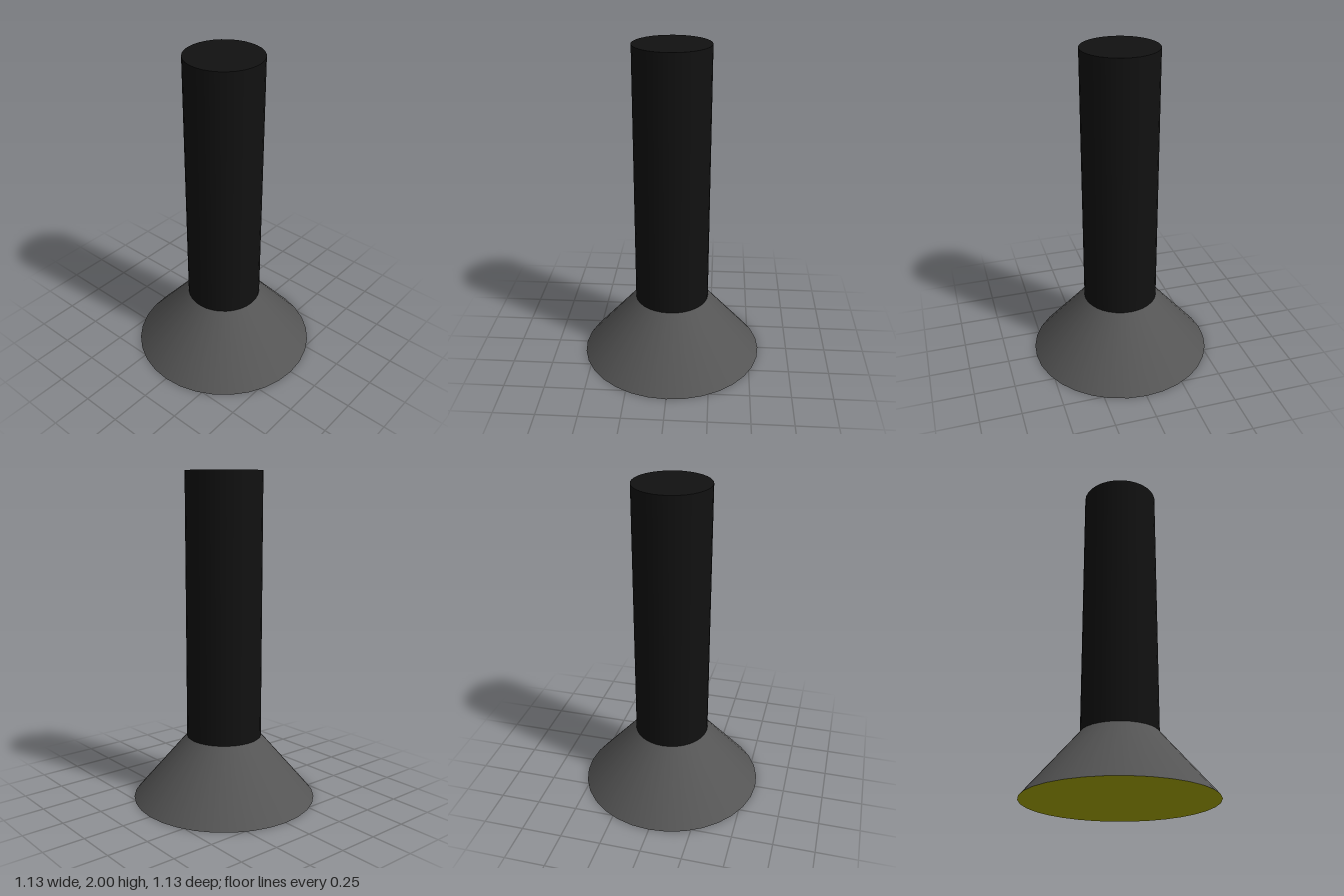
import * as THREE from 'three';

const SIDES = 32;
const BODY_RADIUS = 0.23;
const RIM_RADIUS = 0.565;
const HEAD_HEIGHT = 0.39;
const HEIGHT = 2;

function addPart(group, name, geometry, color, y) {
  const mesh = new THREE.Mesh(geometry, new THREE.MeshStandardMaterial({ color }));
  mesh.name = name;
  mesh.position.y = y;
  group.add(mesh);
}

export function createModel() {
  const model = new THREE.Group();
  model.name = 'flashlight';

  // Straight handle, closed at the top
  const bodyHeight = HEIGHT - HEAD_HEIGHT;
  addPart(model, 'handle',
    new THREE.CylinderGeometry(BODY_RADIUS, BODY_RADIUS, bodyHeight, SIDES),
    0x111111, HEAD_HEIGHT + bodyHeight / 2);

  // Flared head, its open end covered by the lens
  addPart(model, 'head',
    new THREE.CylinderGeometry(BODY_RADIUS, RIM_RADIUS, HEAD_HEIGHT, SIDES, 1, true),
    0x555555, HEAD_HEIGHT / 2);

  // Flat lens facing down
  const lens = new THREE.CircleGeometry(RIM_RADIUS, SIDES).rotateX(Math.PI / 2);
  addPart(model, 'lens', lens, 0xaaaa00, 0);

  return model;
}
